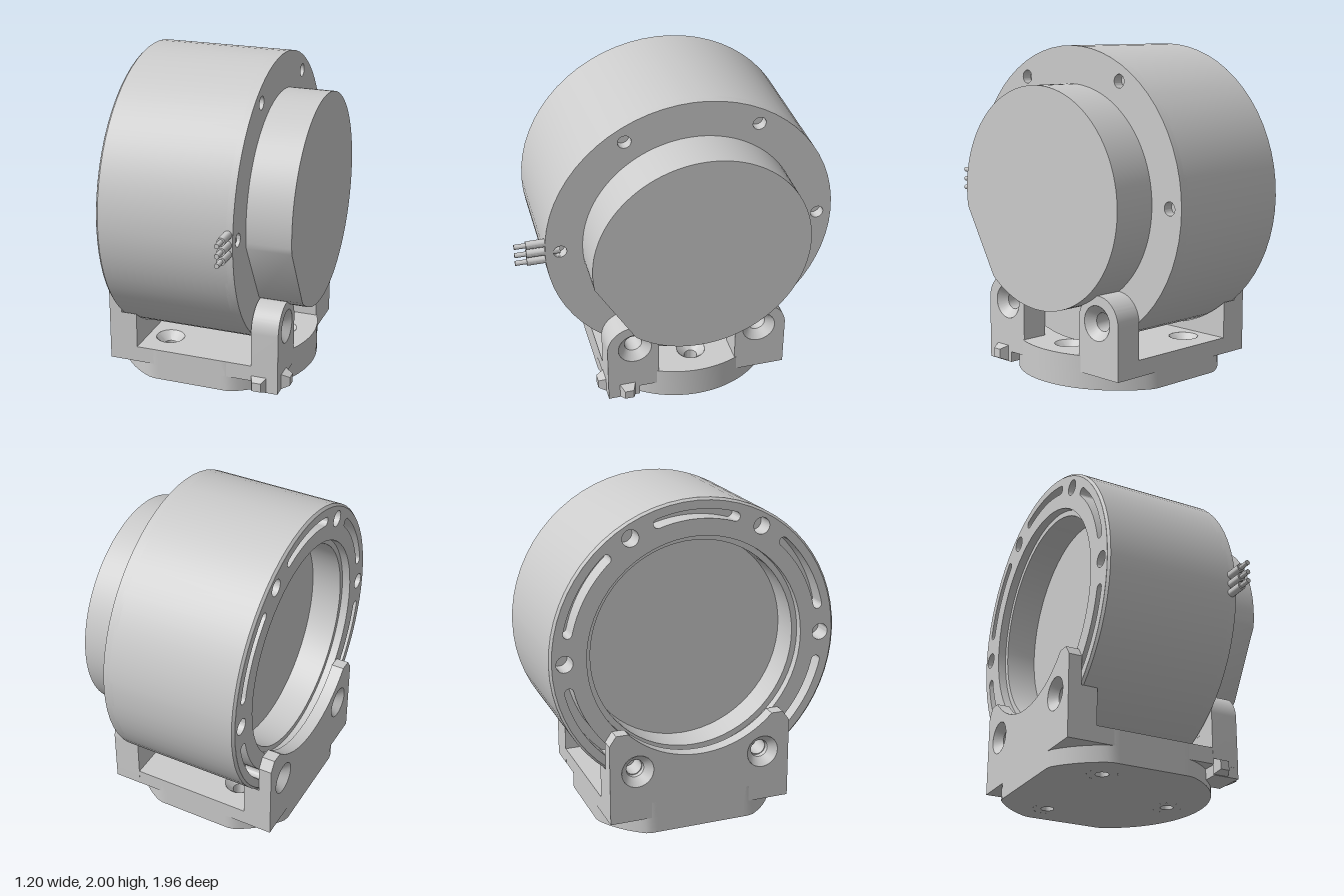
import * as THREE from 'three';
import { toCreasedNormals } from 'three/addons/utils/BufferGeometryUtils.js';

const material = new THREE.MeshStandardMaterial({ color: 0xcccccc, side: THREE.DoubleSide });
const CENTRE_Y = 1.11, R = 0.89;

function add(parent, name, geometry, x = 0, y = 0, z = 0) {
  const mesh = new THREE.Mesh(toCreasedNormals(geometry, 0.5), material);
  mesh.name = name;
  mesh.position.set(x, y, z);
  parent.add(mesh);
  return mesh;
}

const circle = (x, y, r) => new THREE.Path().absarc(x, y, r, 0, Math.PI * 2);
const disc = (r) => new THREE.Shape().absarc(0, 0, r, 0, Math.PI * 2);
const polygon = (pts) => new THREE.Shape(pts.map(([x, y]) => new THREE.Vector2(x, y)));

// Extrudes along +x; the shape's horizontal axis becomes -z
function extrudeX(shape, depth, curveSegments = 32) {
  return new THREE.ExtrudeGeometry(shape, { depth, bevelEnabled: false, curveSegments }).rotateY(Math.PI / 2);
}
// Extrudes along +y; the shape's vertical axis becomes -z
function extrudeY(shape, depth) {
  return new THREE.ExtrudeGeometry(shape, { depth, bevelEnabled: false, curveSegments: 32 }).rotateX(-Math.PI / 2);
}
// Lathe from [radius, height] pairs
function lathe(pts, segments = 64) {
  return new THREE.LatheGeometry(pts.map(([r, h]) => new THREE.Vector2(r, h)), segments);
}
const latheX = (pts) => lathe(pts).rotateZ(-Math.PI / 2);

// Countersunk lining of a screw hole, face at 0, going down
const countersink = (outer, inner, depth) =>
  lathe([[outer, 0], [inner, -0.05], [inner, -depth], [outer, -depth]], 28);

// Curved slot around the motor axis
function arcSlot(angle, half, r0, r1) {
  const slot = new THREE.Path();
  const rm = (r0 + r1) / 2, e = (r1 - r0) / 2;
  slot.absarc(0, 0, r1, angle - half, angle + half, false);
  const a = angle + half, b = angle - half;
  slot.absarc(rm * Math.cos(a), rm * Math.sin(a), e, a, a + Math.PI, false);
  slot.absarc(0, 0, r0, a, b, true);
  slot.absarc(rm * Math.cos(b), rm * Math.sin(b), e, b + Math.PI, b + 2 * Math.PI, false);
  return slot;
}

function createMotor() {
  const motor = new THREE.Group();
  motor.name = 'motor';

  // Casing wall with a chamfered rear edge and a fine seam
  add(motor, 'casing', latheX([[0.875, -0.52], [R, -0.505], [R, 0.285], [0.882, 0.287],
    [0.882, 0.294], [R, 0.296], [R, 0.325]]));

  // Rear ring with six screw holes and six curved slots
  const rear = disc(0.876);
  const front = disc(R);
  rear.holes.push(circle(0, 0, 0.67));
  for (let i = 0; i < 6; i++) {
    const a = i * Math.PI / 3;
    const x = 0.8 * Math.cos(a), y = 0.8 * Math.sin(a);
    rear.holes.push(circle(x, y, 0.05), arcSlot(a + Math.PI / 6, 0.3, 0.77, 0.825));
    front.holes.push(circle(x, y, 0.04));
  }
  add(motor, 'rearRing', extrudeX(rear, 0.12), -0.52);
  add(motor, 'rearRingFloor', latheX([[0.67, -0.4], [0.885, -0.4]]));

  // Stepped bore open to the rear
  add(motor, 'bore', latheX([[0.67, -0.52], [0.67, -0.47], [0.635, -0.47], [0.635, -0.28], [0, -0.28]]));

  // Front plate with matching holes
  add(motor, 'frontPlate', extrudeX(front, 0.06), 0.265);
  add(motor, 'frontPlateFloor', latheX([[0.6, 0.262], [0.88, 0.262]]));

  // Boss with one flat side
  const boss = new THREE.Shape().absarc(0, 0, 0.665,
    THREE.MathUtils.degToRad(231.4), THREE.MathUtils.degToRad(549.5));
  add(motor, 'boss', extrudeX(boss, 0.275, 48), 0.325);

  // Three leads with bare ends
  for (const y of [-0.057, 0, 0.06]) {
    add(motor, 'leadSleeve', new THREE.CylinderGeometry(0.025, 0.025, 0.2, 16).rotateX(Math.PI / 2), 0.295, y, 0.898);
    add(motor, 'leadCore', new THREE.CylinderGeometry(0.015, 0.015, 0.2, 12).rotateX(Math.PI / 2), 0.295, y, 0.967);
  }
  return motor;
}

function createBracket() {
  const bracket = new THREE.Group();
  bracket.name = 'bracket';
  const W = 0.572, holeX = 0.4, holeY = 0.417;

  // Base disc with flat sides, and the mounting slab above it
  const cx = -0.07, cr = 0.627;
  const outline = [];
  for (let i = 0; i < 96; i++) {
    const a = i / 96 * Math.PI * 2;
    outline.push([Math.max(-0.6, cx + cr * Math.cos(a)), THREE.MathUtils.clamp(cr * Math.sin(a), -W, W)]);
  }
  const base = polygon(outline);
  const slab = polygon([[-0.6, -W], [0.5, -W], [0.5, -0.255], [0.2, -0.255],
    [0.2, 0.255], [0.5, 0.255], [0.5, W], [-0.6, W]]);
  for (let i = 0; i < 3; i++) {
    const a = i * Math.PI * 2 / 3;
    const x = cx + 0.42 * Math.cos(a), z = 0.42 * Math.sin(a);
    base.holes.push(circle(x, z, 0.09));
    if (i > 0) slab.holes.push(circle(x, z, 0.09));
    add(bracket, 'baseScrewHole', countersink(0.09, 0.04, 0.2), x, 0.2, -z);
  }
  add(bracket, 'baseDisc', extrudeY(base, 0.2));
  add(bracket, 'baseSlab', extrudeY(slab, 0.1), 0, 0.1);

  // Rear arm, cut away around the bore
  const arm = new THREE.Shape();
  const r = 0.64, a0 = Math.atan2(0.66 - CENTRE_Y, 0.455);
  arm.moveTo(-W, 0.1);
  arm.lineTo(W, 0.1);
  arm.lineTo(W, 0.6);
  arm.lineTo(0.53, 0.66);
  arm.absarc(0, CENTRE_Y, r, a0, -Math.PI - a0, true);
  arm.lineTo(-0.53, 0.66);
  arm.lineTo(-W, 0.6);
  for (const s of [-1, 1]) arm.holes.push(circle(s * holeX, holeY, 0.1));
  add(bracket, 'rearArm', extrudeX(arm, 0.08), -0.6);

  // Cradle under the rear edge of the casing
  const cradle = new THREE.Shape();
  const c0 = -Math.acos(W / 0.893);
  cradle.moveTo(-W, 0.19);
  cradle.lineTo(W, 0.19);
  cradle.absarc(0, CENTRE_Y, 0.893, c0, -Math.PI - c0, true);
  add(bracket, 'rearCradle', extrudeX(cradle, 0.1), -0.52);

  for (const s of [-1, 1]) {
    // Round-topped front lugs
    const lug = new THREE.Shape();
    lug.moveTo(s * 0.41 - 0.163, 0.1);
    lug.lineTo(s * 0.41 + 0.163, 0.1);
    lug.absarc(s * 0.41, 0.418, 0.163, 0, Math.PI);
    lug.holes.push(circle(s * holeX, holeY, 0.105));
    add(bracket, 'frontLug', extrudeX(lug, 0.17), 0.33);
    add(bracket, 'frontLugHole', countersink(0.105, 0.055, 0.17).rotateZ(-Math.PI / 2), 0.5, holeY, s * holeX);
    add(bracket, 'rearArmHole', countersink(0.1, 0.055, 0.08).rotateZ(Math.PI / 2), -0.6, holeY, s * holeX);
  }

  // Corner foot with two small tapered catches
  add(bracket, 'cornerFoot', new THREE.BoxGeometry(0.16, 0.07, 0.2), 0.42, 0.07, 0.472);
  const catchShape = () => new THREE.CylinderGeometry(0.04, 0.07, 0.05, 4).rotateY(Math.PI / 4);
  add(bracket, 'sideCatch', catchShape().rotateX(Math.PI / 2), 0.38, 0.087, 0.595);
  add(bracket, 'frontCatch', catchShape().rotateZ(-Math.PI / 2), 0.525, 0.087, 0.45);
  return bracket;
}

export function createModel() {
  const model = new THREE.Group();
  model.name = 'motorOnBracket';
  const motor = createMotor();
  motor.position.set(0, CENTRE_Y, -0.085);
  const bracket = createBracket();
  bracket.position.z = -0.085;
  model.add(motor, bracket);
  return model;
}
